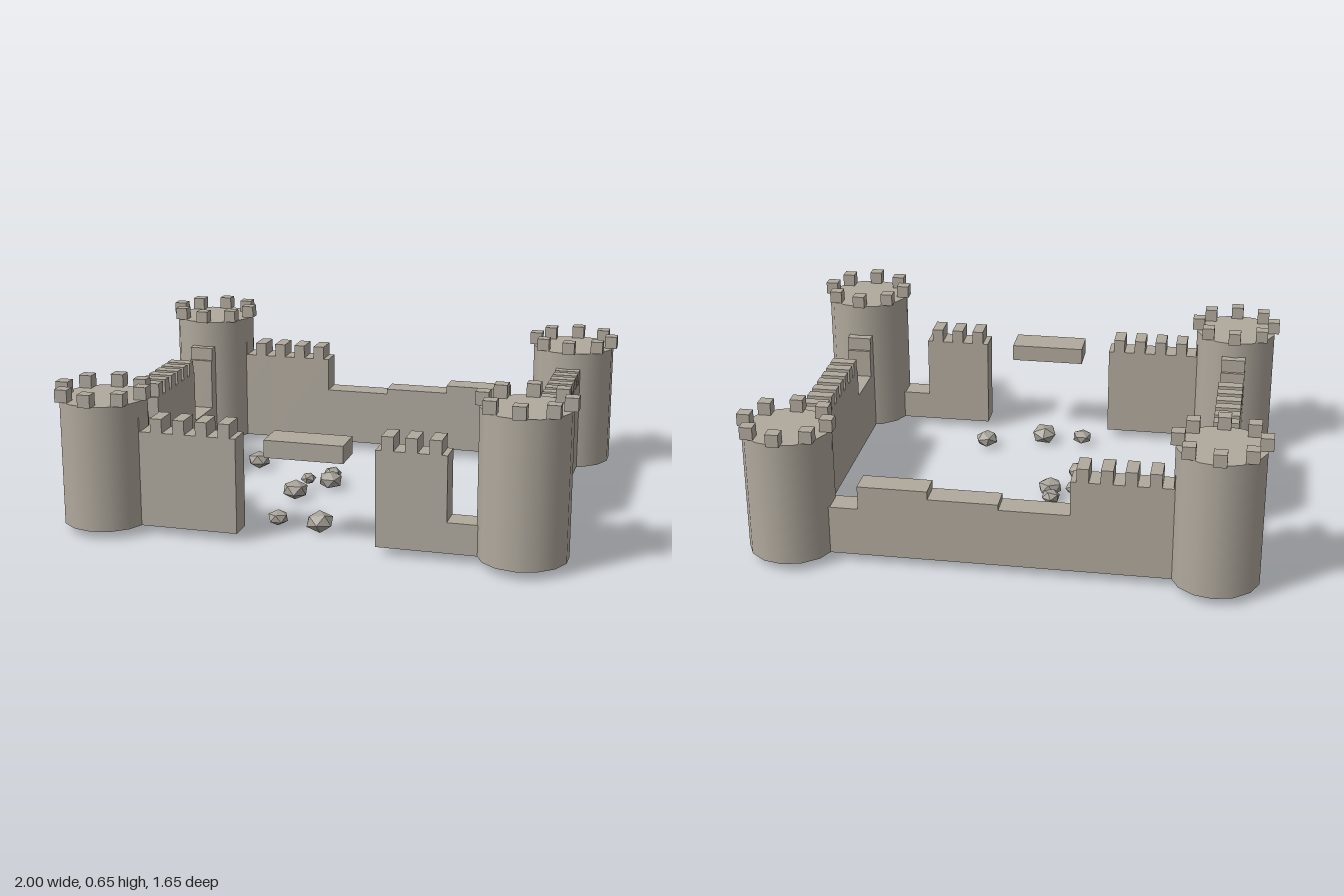
import * as THREE from 'three';

const BASE = 0.04, FULL = 0.415, WALL = 0.1;
const TX = 0.815, TZ = 0.64; // tower centres

const stone = new THREE.MeshStandardMaterial({ color: 0xb0a99d });
const rubbleStone = new THREE.MeshStandardMaterial({ color: 0xa8a39a, flatShading: true });

function box(parent, name, w, h, d, x, y, z) {
  const mesh = new THREE.Mesh(new THREE.BoxGeometry(w, h, d), stone);
  mesh.name = name;
  mesh.position.set(x, y, z);
  parent.add(mesh);
  return mesh;
}

// Round tower with a ring of eight square merlons
function tower(name, x, z, top) {
  const g = new THREE.Group();
  g.name = name;
  g.position.set(x, 0, z);
  const h = top - BASE;
  const body = new THREE.Mesh(new THREE.CylinderGeometry(0.17, 0.17, h, 14), stone);
  body.name = 'towerBody';
  body.position.y = BASE + h / 2;
  g.add(body);
  for (let i = 0; i < 8; i++) {
    const a = (i * Math.PI) / 4;
    box(g, 'towerMerlon', 0.05, 0.05, 0.05, 0.16 * Math.cos(a), top + 0.025, 0.16 * Math.sin(a));
  }
  return g;
}

// Wall along local x in six equal sections; full-height ones carry three merlons,
// lower ones are broken down, and a height of 0 leaves a gap
function wall(name, length, tops) {
  const g = new THREE.Group();
  g.name = name;
  const s = length / tops.length;
  tops.forEach((top, i) => {
    if (!top) return;
    const x = -length / 2 + (i + 0.5) * s;
    box(g, 'wallSection', s, top - BASE, WALL, x, (top + BASE) / 2, 0);
    if (top < FULL) return;
    for (let k = -1; k <= 1; k++) {
      box(g, 'wallMerlon', 0.046, 0.055, WALL, x + (k * s) / 3, top + 0.0275, 0);
    }
  });
  return g;
}

export function createModel() {
  const model = new THREE.Group();
  model.name = 'ruinedCastle';

  // Corner towers of differing heights
  model.add(
    tower('frontRightTower', -TX, TZ, 0.532),
    tower('frontLeftTower', TX, TZ, 0.605),
    tower('backLeftTower', TX, -TZ, 0.537),
    tower('backRightTower', -TX, -TZ, 0.58)
  );

  // Front and back walls, sections listed from -x to +x
  const front = wall('frontWall', 1.62, [FULL, FULL, 0, 0, FULL, 0.16]);
  front.position.z = TZ;
  const back = wall('backWall', 1.62, [FULL, FULL, 0.275, 0.297, 0.33, 0.235]);
  back.position.z = -TZ;

  // Side walls, sections listed from front to back
  const left = wall('leftWall', TZ * 2, [FULL, 0.297, FULL, FULL, FULL, FULL]);
  left.position.x = TX;
  const right = wall('rightWall', TZ * 2, [FULL, 0.328, FULL, FULL, 0.2, FULL]);
  right.position.x = -TX;
  left.rotation.y = right.rotation.y = Math.PI / 2;
  model.add(front, back, left, right);

  // Lintel over the open gateway
  box(model, 'gateLintel', 0.305, 0.068, 0.135, 0, 0.391, 0.638);

  // Fallen stones: x, z, radius
  const rubble = new THREE.Group();
  rubble.name = 'rubble';
  model.add(rubble);
  [
    [-0.465, -0.34, 0.029], [-0.475, -0.21, 0.051], [-0.115, -0.105, 0.04],
    [-0.1, -0.02, 0.053], [-0.195, -0.015, 0.034], [-0.205, 0.14, 0.055],
    [-0.17, 0.485, 0.043], [0, 0.49, 0.058], [0.242, 0.4, 0.05], [0.65, -0.5, 0.057],
  ].forEach(([x, z, r], i) => {
    const geo = new THREE.IcosahedronGeometry(r, 0);
    geo.rotateX(i * 1.3 + 0.4).rotateY(i * 2.1).rotateZ(i * 0.7);
    geo.scale(1, 0.72, 1);
    const rock = new THREE.Mesh(geo, rubbleStone);
    rock.name = 'fallenStone';
    rock.position.set(x, 0.046, z);
    rubble.add(rock);
  });

  return model;
}
